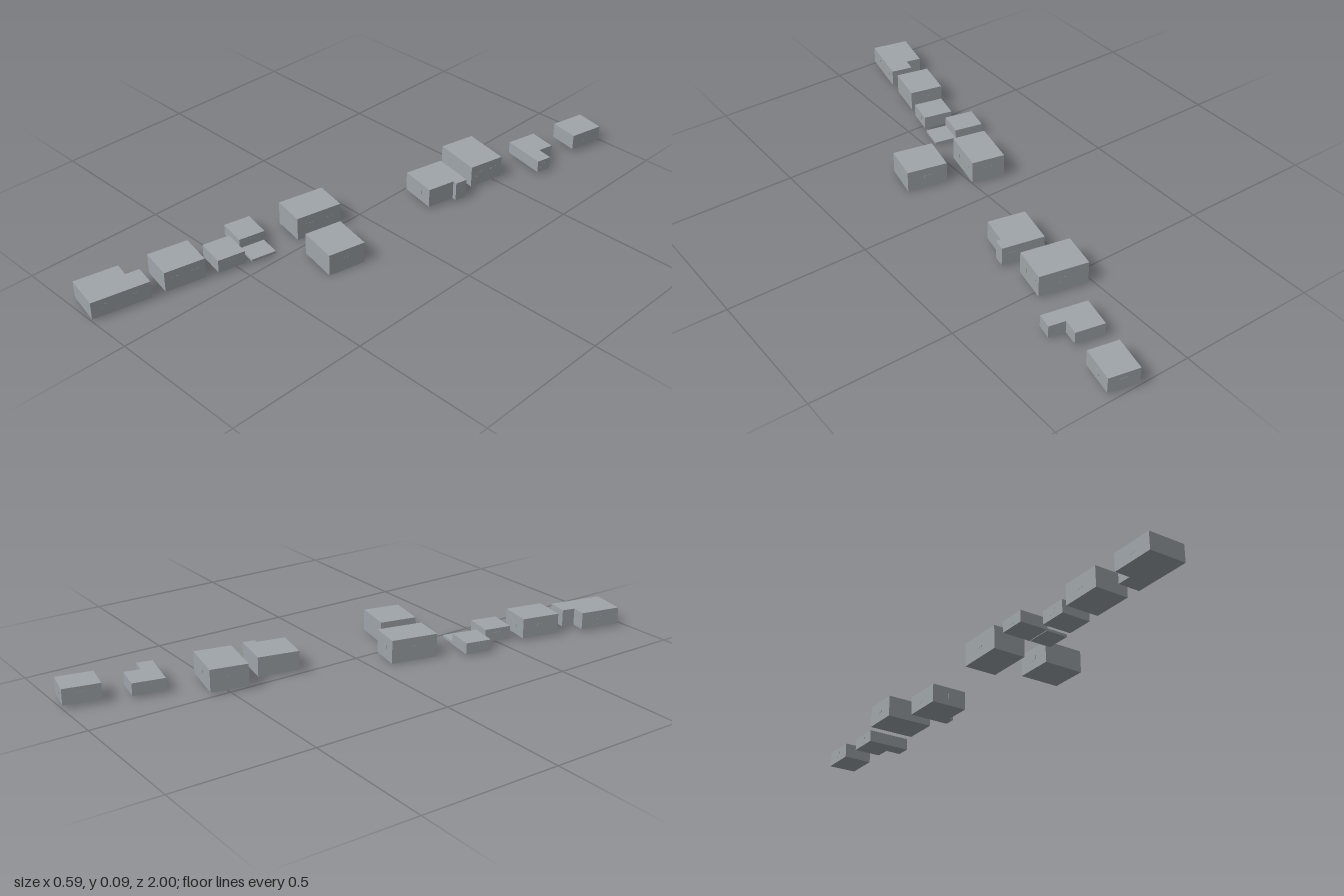
import * as THREE from 'three';

const wallGrey = new THREE.MeshStandardMaterial({ color: 0x9fa5a9 });
wallGrey.name = 'wallGrey';

const STREET_ANGLE = -0.205; // every house is aligned with the same street

// Flat-roofed block, optionally with one corner cut out
function makeWalls(width, depth, height, cut) {
  const outline = [];
  for (const [sx, sz] of [[-1, -1], [1, -1], [1, 1], [-1, 1]]) {
    const x = sx * width / 2, z = sz * depth / 2;
    if (cut && cut.sx === sx && cut.sz === sz) {
      const inX = x - sx * cut.width, inZ = z - sz * cut.depth;
      const corner = [[x, inZ], [inX, inZ], [inX, z]];
      outline.push(...(sx * sz > 0 ? corner : corner.reverse()));
    } else {
      outline.push([x, z]);
    }
  }
  const shape = new THREE.Shape(outline.map(([x, z]) => new THREE.Vector2(x, -z)));
  const geometry = new THREE.ExtrudeGeometry(shape, { depth: height, bevelEnabled: false });
  const mesh = new THREE.Mesh(geometry.rotateX(-Math.PI / 2), wallGrey);
  mesh.name = 'walls';
  return mesh;
}

// Thin window plate centred on a wall surface
function makeWindow(x, y, z, turned) {
  const mesh = new THREE.Mesh(new THREE.BoxGeometry(0.025, 0.018, 0.001), wallGrey);
  mesh.position.set(x, y, z);
  if (turned) mesh.rotation.y = Math.PI / 2;
  mesh.name = 'window';
  return mesh;
}

// sides lists window offsets along each wall
function makeHouse(name, [x, z], [width, depth], [bottom, top], sides = {}, cut) {
  const house = new THREE.Group();
  house.name = name;
  house.position.set(x, bottom, z);
  house.rotation.y = STREET_ANGLE;
  const height = top - bottom;
  house.add(makeWalls(width, depth, height, cut));
  const y = height * 0.52;
  const { left = [], right = [], front = [], back = [] } = sides;
  for (const o of left) house.add(makeWindow(width / 2, y, o, true));
  for (const o of right) house.add(makeWindow(-width / 2, y, o, true));
  for (const o of front) house.add(makeWindow(o, y, depth / 2, false));
  for (const o of back) house.add(makeWindow(o, y, -depth / 2, false));
  return house;
}

export function createModel() {
  const model = new THREE.Group();
  model.name = 'houseRow';
  model.add(
    // Far group
    makeHouse('backHouse', [0.229, -0.927], [0.109, 0.128], [0.014, 0.07],
      { left: [0], right: [0], back: [0] }),
    makeHouse('backCornerHouse', [0.205, -0.712], [0.164, 0.114], [0.01, 0.054],
      { left: [0.03], right: [0] }, { sx: 1, sz: -1, width: 0.06, depth: 0.058 }),
    makeHouse('wideHouse', [0.092, -0.481], [0.176, 0.133], [0.008, 0.087],
      { left: [-0.03, 0.03], right: [0], back: [0] }),
    makeHouse('steppedHouse', [0.1025, -0.281], [0.153, 0.148], [0.007, 0.076],
      { right: [0], front: [0], back: [0.04] }, { sx: 1, sz: 1, width: 0.017, depth: 0.103 }),

    // Middle pair
    makeHouse('longHouse', [-0.077, 0.1625], [0.121, 0.17], [0.003, 0.087],
      { left: [-0.04, 0.04], right: [0], back: [0] }),
    makeHouse('squareHouse', [0.1225, 0.237], [0.147, 0.136], [0, 0.078],
      { left: [0], right: [0], back: [0] }),

    // Near group
    makeHouse('lowHouse', [-0.166, 0.38], [0.105, 0.096], [0.007, 0.048],
      { left: [0], right: [0] }),
    makeHouse('flatSlab', [-0.077, 0.399], [0.08, 0.089], [0.005, 0.014]),
    makeHouse('smallHouse', [-0.118, 0.5095], [0.107, 0.099], [0.008, 0.055],
      { left: [0], right: [0] }),
    makeHouse('middleHouse', [-0.163, 0.669], [0.122, 0.144], [0.007, 0.08],
      { left: [-0.036, 0.036], right: [0], back: [0] }),
    makeHouse('frontCornerHouse', [-0.2115, 0.886], [0.134, 0.203], [0.008, 0.07],
      { left: [-0.05, 0.05], right: [0.025] }, { sx: -1, sz: -1, width: 0.055, depth: 0.049 }),
  );
  return model;
}
